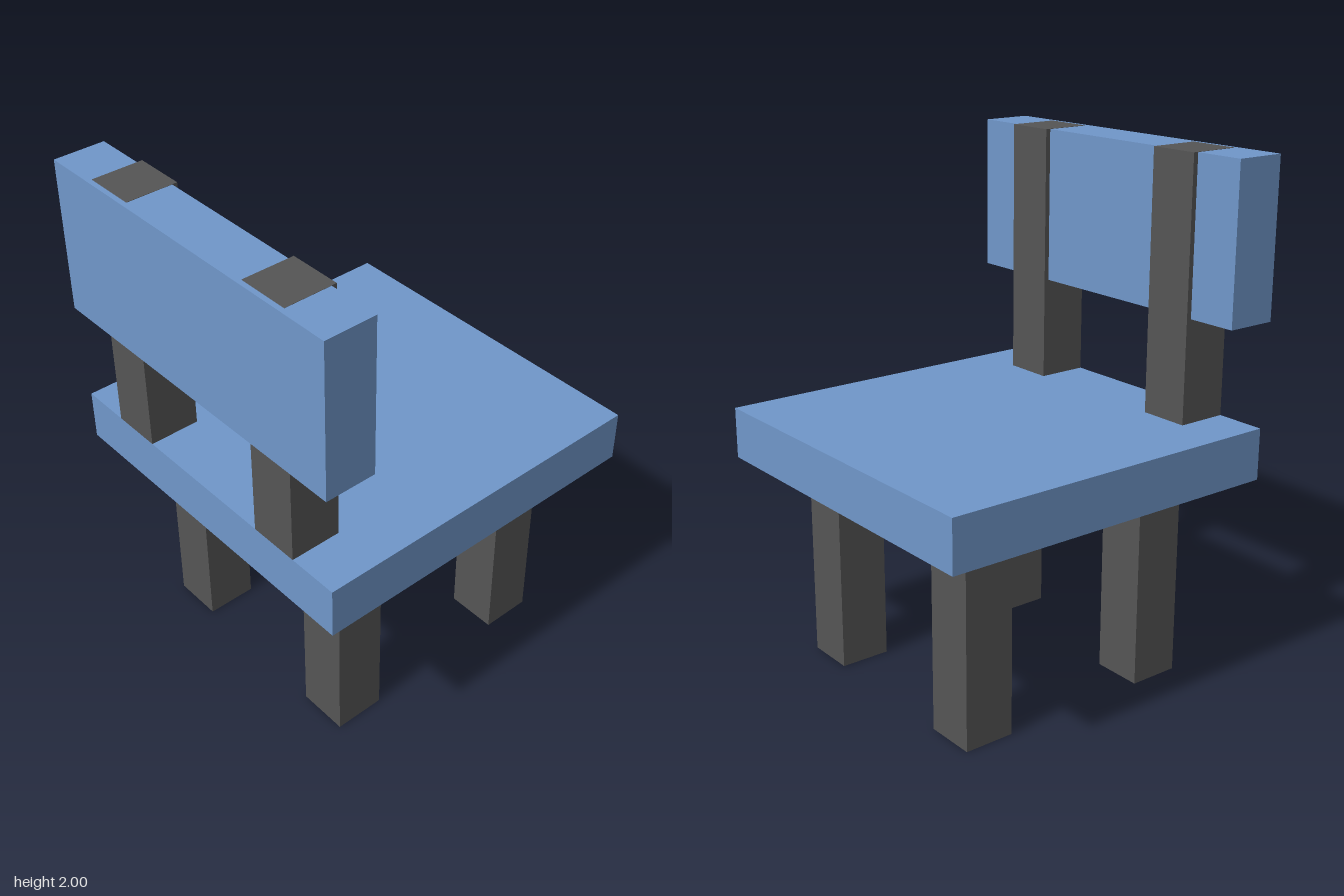
import * as THREE from 'three';

export function createModel() {
  const model = new THREE.Group();
  const blue = new THREE.MeshStandardMaterial({ color: 0x7097ca });
  const dark = new THREE.MeshStandardMaterial({ color: 0x555555 });

  // Box given by its size, the centre of its underside and its material
  const addBox = (name, [w, h, d], [x, y, z], material) => {
    const mesh = new THREE.Mesh(new THREE.BoxGeometry(w, h, d), material);
    mesh.name = name;
    mesh.position.set(x, y + h / 2, z);
    model.add(mesh);
  };

  // Seat slab and backrest panel (a hair lower, so the post tops stay visible)
  addBox('seat', [1.4, 0.2, 1.4], [0, 0.8, -0.01], blue);
  addBox('backrest', [1.4, 0.599, 0.2], [0, 1.4, 0.61], blue);

  // Legs and backrest posts, mirrored left and right
  for (const [side, x] of [['left', 0.4], ['right', -0.4]]) {
    addBox(`${side}LegNearBackrest`, [0.2, 0.8, 0.2], [x, 0, 0.39], dark);
    addBox(`${side}LegFarFromBackrest`, [0.2, 0.8, 0.2], [x, 0, -0.41], dark);
    addBox(`${side}BackrestPost`, [0.2, 1, 0.2], [x, 1, 0.59], dark);
  }
  return model;
}
